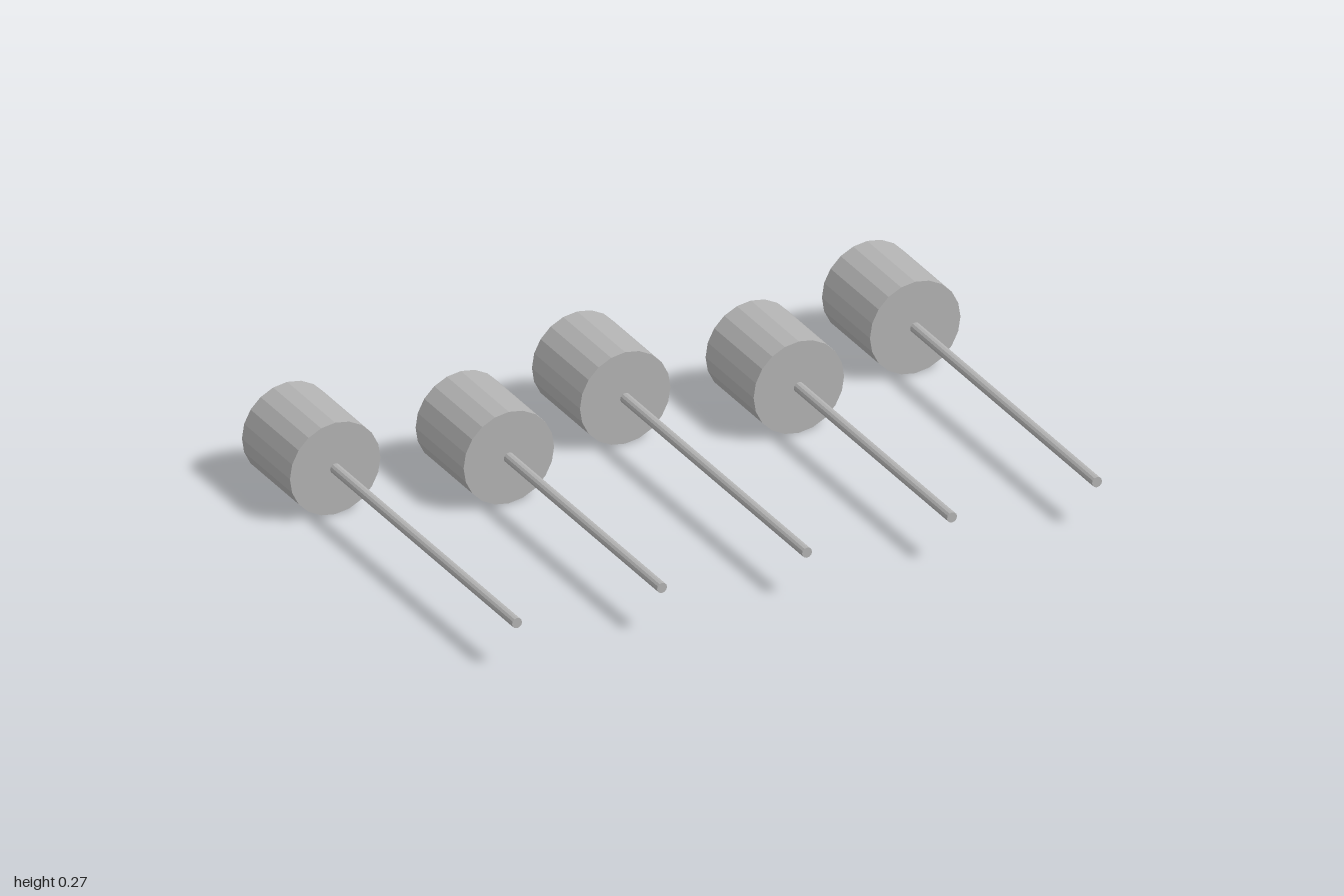
import * as THREE from 'three';

export function createModel() {
  const model = new THREE.Group();
  const grey = new THREE.MeshStandardMaterial({ color: 0xb3b3b3, flatShading: true });
  grey.name = 'grey';

  const R = 0.135, SPACING = 0.4325, FRONT = 0.645;

  // Cylinder lying along z between two depths
  function rod(name, radius, zBack, zFront, sides) {
    const g = new THREE.CylinderGeometry(radius, radius, zFront - zBack, sides);
    g.rotateX(Math.PI / 2);
    g.translate(0, 0, (zFront + zBack) / 2);
    const mesh = new THREE.Mesh(g, grey);
    mesh.name = name;
    return mesh;
  }

  // Row of five pins, alternately long and short
  for (let i = 0; i < 5; i++) {
    const back = i % 2 === 0 ? -0.645 : -0.485;
    const pin = new THREE.Group();
    pin.name = 'pin' + (i + 1);
    pin.position.set((i - 2) * SPACING, R, 0);
    pin.add(
      rod('headCap', 0.108, back, back + 0.02, 20),
      rod('head', R, back + 0.007, back + 0.275, 20),
      rod('stem', 0.015, back + 0.26, FRONT, 12)
    );
    model.add(pin);
  }
  return model;
}
